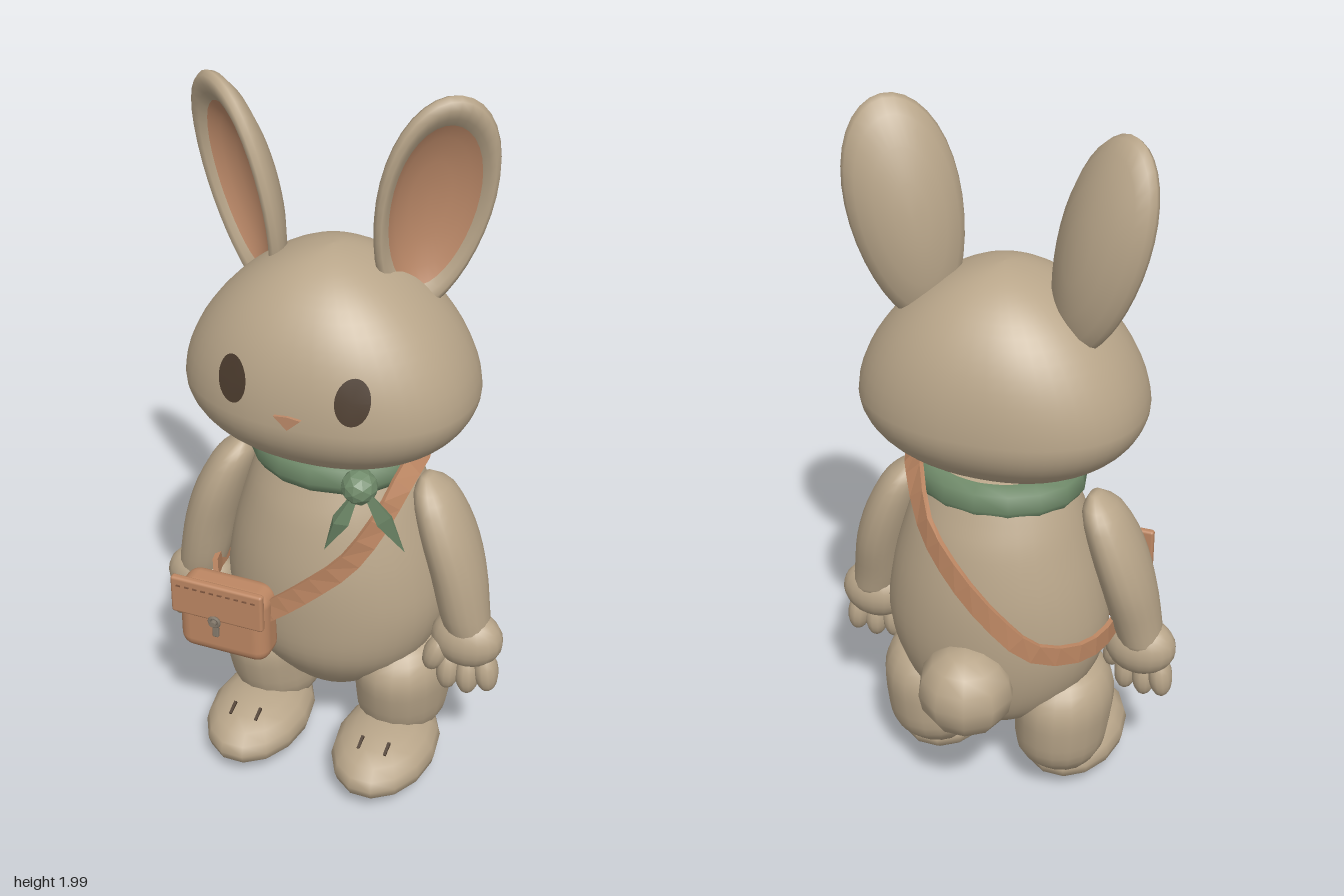
import * as THREE from 'three';
import { mergeVertices } from 'three/addons/utils/BufferGeometryUtils.js';
import { RoundedBoxGeometry } from 'three/addons/geometries/RoundedBoxGeometry.js';

const paint = (name, color) => {
  const m = new THREE.MeshStandardMaterial({ color });
  m.name = name;
  return m;
};
const V = (x, y, z) => new THREE.Vector3(x, y, z);

// Body cross-sections from bottom to top: x, y, z, half width, half depth
const BODY = [
  [0, 0.22, 0, 0.05, 0.05], [0, 0.25, 0, 0.11, 0.11], [0, 0.32, 0, 0.2, 0.18],
  [0, 0.42, 0.01, 0.275, 0.23], [0, 0.55, 0.01, 0.31, 0.25], [0, 0.7, 0.01, 0.295, 0.25],
  [0, 0.85, 0.01, 0.255, 0.225], [0, 0.95, 0.01, 0.22, 0.19], [0, 1.05, 0.01, 0.17, 0.15],
];

// Skin over horizontal oval rings, closed at both ends
function loft(rings, seg = 28, power = 2) {
  const pos = [], idx = [], e = 2 / power;
  const bend = (v) => Math.sign(v) * Math.abs(v) ** e;
  for (const [x, y, z, rx, rz] of rings)
    for (let j = 0; j < seg; j++) {
      const a = (j / seg) * Math.PI * 2;
      pos.push(x + rx * bend(Math.cos(a)), y, z + rz * bend(Math.sin(a)));
    }
  const last = rings.length - 1, bottom = pos.length / 3;
  pos.push(...rings[0].slice(0, 3), ...rings[last].slice(0, 3));
  for (let j = 0; j < seg; j++) {
    const k = (j + 1) % seg;
    for (let i = 0; i < last; i++) {
      const a = i * seg + j, b = i * seg + k;
      idx.push(a, a + seg, b, b, a + seg, b + seg);
    }
    idx.push(bottom, j, k, bottom + 1, last * seg + k, last * seg + j);
  }
  const g = new THREE.BufferGeometry();
  g.setAttribute('position', new THREE.Float32BufferAttribute(pos, 3));
  g.setIndex(idx);
  g.computeVertexNormals();
  return g;
}

// Smooth in-between rings
function refine(rings, n) {
  const mid = new THREE.CatmullRomCurve3(rings.map((r) => V(r[0], r[1], r[2])), false, 'catmullrom');
  const rad = new THREE.CatmullRomCurve3(rings.map((r) => V(r[3], r[4], 0)), false, 'catmullrom');
  return Array.from({ length: n + 1 }, (_, i) => {
    const p = mid.getPoint(i / n), r = rad.getPoint(i / n);
    return [p.x, p.y, p.z, r.x, r.y];
  });
}

// Head: half width and half depth at a height, and its front surface
function headRing(y) {
  const t = Math.min(1, y > 1.22 ? (y - 1.22) / 0.37 : (1.22 - y) / 0.21);
  const q = (p) => Math.max(0.002, (1 - t ** p) ** (1 / p));
  return y > 1.22 ? [0.385 * q(1.68), 0.296 * q(2.1)] : [0.385 * q(2), 0.296 * q(2)];
}
function headFront(x, y) {
  const [rx, rz] = headRing(y);
  return 0.048 + rz * (1 - Math.abs(x / rx) ** 2.2) ** (1 / 2.2);
}

const flat = (g) => {
  const f = g.index ? g.toNonIndexed() : g;
  f.computeVertexNormals();
  return f;
};

// Flat strap around the body, pushed out wherever it would sink in
function strapGeometry(points) {
  const n = 34, pos = [], idx = [];
  const curve = new THREE.CatmullRomCurve3(points.map((p) => V(...p)));
  for (let i = 0; i <= n; i++) {
    const p = curve.getPoint(i / n), t = curve.getTangent(i / n);
    let k = 0;
    while (k < BODY.length - 2 && BODY[k + 1][1] < p.y) k++;
    const f = (p.y - BODY[k][1]) / (BODY[k + 1][1] - BODY[k][1]);
    const rx = THREE.MathUtils.lerp(BODY[k][3], BODY[k + 1][3], f) + 0.006;
    const rz = THREE.MathUtils.lerp(BODY[k][4], BODY[k + 1][4], f) + 0.006;
    const d = Math.hypot(p.x / rx, (p.z - 0.01) / rz);
    if (d < 1) { p.x /= d; p.z = 0.01 + (p.z - 0.01) / d; }
    const out = V(p.x / rx ** 2, 0, (p.z - 0.01) / rz ** 2).normalize();
    if (p.y > 0.95) out.y = (p.y - 0.95) * 10;
    out.addScaledVector(t, -out.dot(t)).normalize();
    const side = t.clone().cross(out);
    for (const [s, h] of [[-1, 0], [1, 0], [1, 1], [-1, 1]])
      pos.push(...p.clone().addScaledVector(side, s * 0.028).addScaledVector(out, h * 0.014));
    if (i < n)
      for (let j = 0; j < 4; j++) {
        const a = i * 4 + j, b = i * 4 + ((j + 1) % 4);
        idx.push(a, a + 4, b, b, a + 4, b + 4);
      }
  }
  const g = new THREE.BufferGeometry();
  g.setAttribute('position', new THREE.Float32BufferAttribute(pos, 3));
  g.setIndex(idx);
  return flat(g);
}

export function createModel() {
  const root = new THREE.Group();
  const fur = paint('fur', 0xb9a68a), pink = paint('innerEar', 0xbd8a69);
  const dark = paint('darkBrown', 0x4c3c2e), green = paint('scarfGreen', 0x718c6b);
  const leather = paint('leather', 0xbd8763), metal = paint('metal', 0x857a6c);
  const stitchTone = paint('stitching', 0x805840);

  const add = (name, geo, mat, x = 0, y = 0, z = 0) => {
    const m = new THREE.Mesh(geo, mat);
    m.name = name;
    m.position.set(x, y, z);
    root.add(m);
    return m;
  };
  const ball = (name, mat, x, y, z, rx, ry, rz, w = 18, h = 12) =>
    add(name, new THREE.SphereGeometry(1, w, h).scale(rx, ry, rz), mat, x, y, z);

  add('body', loft(refine(BODY, 32), 36), fur);

  const headRings = Array.from({ length: 33 }, (_, i) => {
    const c = -Math.cos((i / 32) * Math.PI);
    const y = 1.22 + c * (c > 0 ? 0.37 : 0.21);
    return [0, y, 0.048, ...headRing(y)];
  });
  add('head', loft(headRings, 48, 2.2), fur);

  // Ears: a dish turned about its facing axis, stretched, then leaned outward
  const ear = (s, tilt, x, y) => {
    const dish = (pts) => {
      const g = new THREE.LatheGeometry(pts.map((p) => new THREE.Vector2(...p)), 36);
      g.rotateX(Math.PI / 2);
      const p = g.attributes.position;
      for (let i = 0; i < p.count; i++) p.setX(i, p.getX(i) * (1 + 0.13 * p.getY(i)));
      g.scale(0.146, 0.3, 0.09);
      g.deleteAttribute('uv');
      g.deleteAttribute('normal');
      const m = mergeVertices(g, 1e-5);
      m.computeVertexNormals();
      return m.rotateY(s * 0.6).rotateZ(-s * tilt).translate(s * x, y, -0.005);
    };
    add('ear', dish([[0, -0.8], [0.3, -0.76], [0.6, -0.6], [0.85, -0.32], [0.97, -0.06],
      [1, 0.14], [0.97, 0.3], [0.9, 0.36], [0.82, 0.28], [0.74, 0.12]]), fur);
    add('innerEar', dish([[0.74, 0.12], [0.6, -0.1], [0.35, -0.28], [0, -0.36]]), pink);
  };
  ear(1, 0.2, 0.237, 1.707);
  ear(-1, 0.26, 0.262, 1.682);

  // Nose
  const tri = new THREE.Shape([[-0.036, 0.012], [0, -0.022], [0.036, 0.012], [0, 0.016]]
    .map((p) => new THREE.Vector2(...p)));
  add('nose', new THREE.ExtrudeGeometry(tri, { depth: 0.012, bevelEnabled: false }), pink, 0, 1.243, 0.338);

  for (const s of [1, -1]) {
    // Eye laid on the face
    const eye = new THREE.CircleGeometry(1, 28).scale(0.042, 0.06, 1).translate(s * 0.158, 1.315, 0);
    const p = eye.attributes.position;
    for (let i = 0; i < p.count; i++) p.setZ(i, headFront(p.getX(i), p.getY(i)) + 0.005);
    eye.computeVertexNormals();
    add('eye', eye, dark);

    const limb = (name, rings, n) =>
      add(name, loft(refine(rings.map(([x, ...r]) => [s * x, ...r]), n), 18), fur);
    limb('arm', [[0.4, 0.5, 0.06, 0.06, 0.06], [0.382, 0.58, 0.06, 0.068, 0.078],
      [0.358, 0.7, 0.05, 0.072, 0.1], [0.322, 0.82, 0.045, 0.07, 0.104],
      [0.283, 0.92, 0.04, 0.054, 0.08], [0.26, 0.968, 0.04, 0.015, 0.025]], 15);
    limb('leg', [[0.19, 0.09, 0, 0.08, 0.07], [0.19, 0.16, 0, 0.122, 0.135],
      [0.195, 0.25, 0.005, 0.133, 0.16], [0.197, 0.34, 0.01, 0.135, 0.166],
      [0.195, 0.41, 0.01, 0.105, 0.125], [0.19, 0.445, 0.01, 0.03, 0.04]], 15);

    // Hand with fingers and thumb
    ball('palm', fur, s * 0.395, 0.49, 0.065, 0.1, 0.085, 0.072);
    for (const [x, y, z, lean] of [[0.352, 0.385, 0.085, -0.05], [0.405, 0.38, 0.08, 0.03], [0.455, 0.395, 0.07, 0.12]])
      ball('finger', fur, s * x, y, z, 0.033, 0.065, 0.04, 12, 10).rotation.z = s * lean;
    ball('thumb', fur, s * 0.318, 0.44, 0.095, 0.034, 0.062, 0.038, 12, 10).rotation.z = -s * 0.3;

    // Foot with toe marks
    ball('foot', fur, s * 0.192, 0.098, 0.132, 0.143, 0.09, 0.213, 14, 10);
    for (const x of [0.155, 0.232]) {
      const mark = add('toeMark', new THREE.BoxGeometry(0.008, 0.009, 0.04), dark, s * x, 0.173, 0.235);
      mark.rotation.x = 0.4;
    }
  }

  ball('tail', fur, 0, 0.46, -0.246, 0.132, 0.13, 0.13, 10, 8);

  // Scarf band, knot and two pointed ends
  const band = [[0.17, 0.95], [0.215, 0.955], [0.235, 0.985], [0.228, 1.03], [0.2, 1.05], [0.15, 1.04]];
  const bandGeo = new THREE.LatheGeometry(band.map((p) => new THREE.Vector2(...p)), 16).scale(1, 1, 0.86);
  add('scarf', bandGeo, green, 0, 0, 0.02);
  add('scarfKnot', flat(new THREE.IcosahedronGeometry(0.048, 1)), green, 0.15, 1.03, 0.245);
  const scarfEnd = (from, to, w) => {
    const dir = to.clone().sub(from), len = dir.length();
    const g = new THREE.OctahedronGeometry(1);
    const p = g.attributes.position;
    for (let i = 0; i < p.count; i++)
      p.setXYZ(i, p.getX(i) * w, (p.getY(i) * 0.5 + 0.5 + (Math.abs(p.getY(i)) < 0.5 ? 0.08 : 0)) * len, p.getZ(i) * 0.024);
    const m = add('scarfEnd', flat(g), green, from.x, from.y, from.z);
    m.quaternion.setFromUnitVectors(V(0, 1, 0), dir.normalize());
  };
  scarfEnd(V(0.16, 1.05, 0.24), V(0.08, 0.86, 0.31), 0.046);
  scarfEnd(V(0.14, 1.05, 0.24), V(0.29, 0.895, 0.29), 0.046);

  // Shoulder strap
  add('strap', strapGeometry([
    [-0.17, 0.53, 0.26], [-0.08, 0.6, 0.27], [0.02, 0.69, 0.268], [0.12, 0.79, 0.25], [0.19, 0.91, 0.21],
    [0.225, 1, 0.13], [0.23, 1.03, 0], [0.19, 1.03, -0.1], [0.12, 0.93, -0.2], [0.03, 0.82, -0.24],
    [-0.08, 0.7, -0.245], [-0.18, 0.61, -0.22], [-0.28, 0.57, -0.12], [-0.32, 0.57, 0],
    [-0.31, 0.58, 0.13], [-0.25, 0.6, 0.24]]), leather);

  // Bag with flap, stitching and clasp
  add('bag', new RoundedBoxGeometry(0.26, 0.22, 0.11, 3, 0.04), leather, -0.215, 0.542, 0.272);
  add('bagFlap', new RoundedBoxGeometry(0.266, 0.115, 0.022, 2, 0.008), leather, -0.215, 0.626, 0.338);
  for (let i = 0; i < 10; i++)
    add('stitch', new THREE.BoxGeometry(0.012, 0.004, 0.004), stitchTone, -0.323 + i * 0.024, 0.66, 0.35);
  add('claspPlate', new RoundedBoxGeometry(0.018, 0.06, 0.012, 1, 0.004), metal, -0.215, 0.555, 0.354);
  add('claspRing', new THREE.TorusGeometry(0.014, 0.005, 6, 12), metal, -0.215, 0.578, 0.362);
  add('claspStud', new THREE.CylinderGeometry(0.009, 0.009, 0.02, 10).rotateX(Math.PI / 2), metal, -0.215, 0.578, 0.365);

  return root;
}
